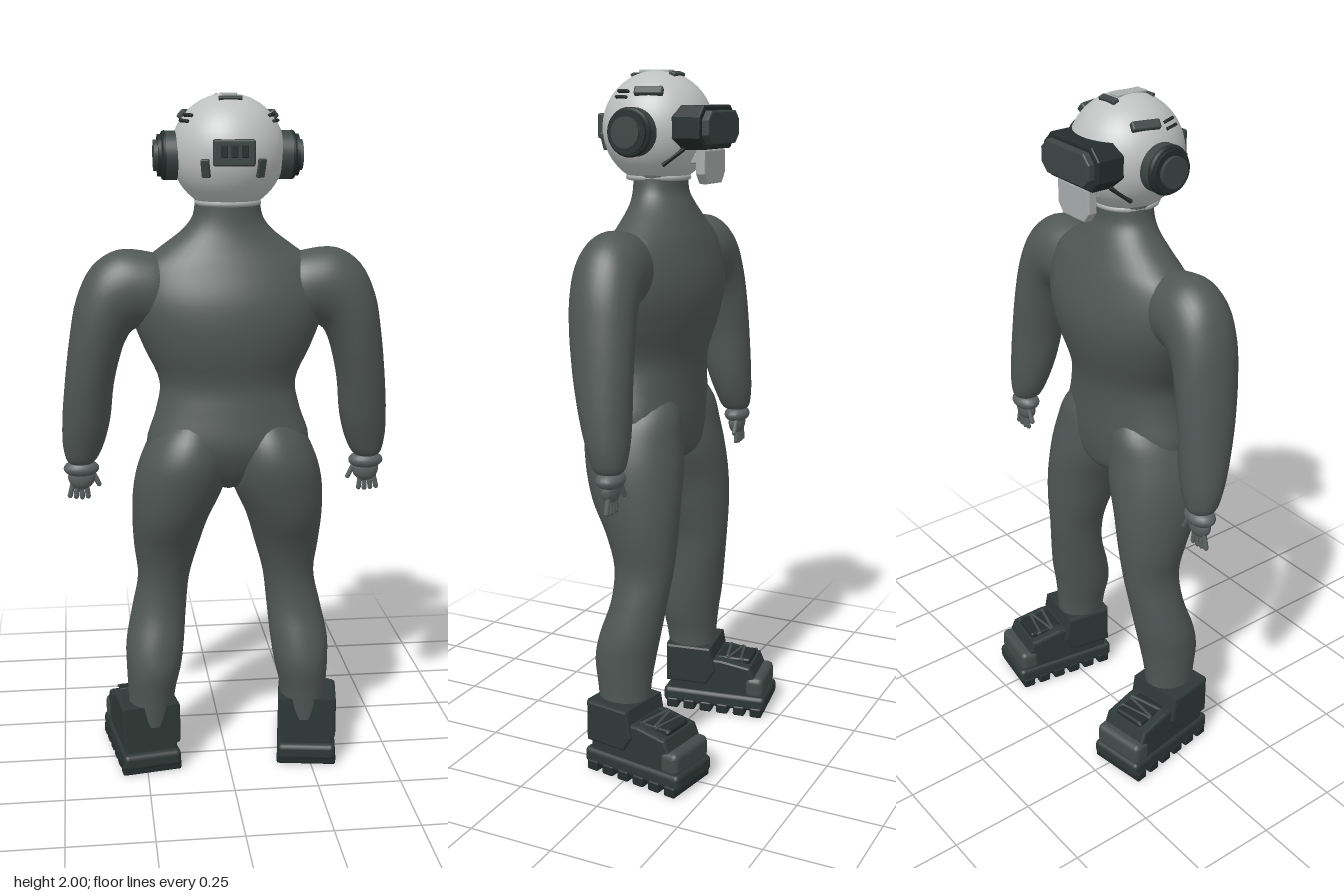
import * as THREE from 'three';
import { RoundedBoxGeometry } from 'three/addons/geometries/RoundedBoxGeometry.js';

const mat = (name, color, side = THREE.FrontSide) => {
  const m = new THREE.MeshStandardMaterial({ color, side });
  m.name = name;
  return m;
};

export function createModel() {
  const suit = mat('suit grey', 0x505755, THREE.DoubleSide);
  const glove = mat('glove grey', 0x5a6160);
  const shell = mat('helmet white', 0xbfc1c1);
  const plate = mat('pale plate', 0xa9adac);
  const trim = mat('helmet trim', 0x3c4543);
  const dark = mat('dark rubber', 0x252d2c);
  const boot = mat('boot', 0x2e3836);
  const cap = mat('toe cap', 0x434c4a);

  const model = new THREE.Group();
  const add = (parent, name, geo, material, x = 0, y = 0, z = 0) => {
    const m = new THREE.Mesh(geo, material);
    m.name = name;
    m.position.set(x, y, z);
    parent.add(m);
    return m;
  };
  const group = (parent, name, x = 0, y = 0, z = 0) => {
    const g = new THREE.Group();
    g.name = name;
    g.position.set(x, y, z);
    parent.add(g);
    return g;
  };
  const rbox = (w, h, d, r = 0.01) => new RoundedBoxGeometry(w, h, d, 2, r);

  // Smooth skin through oval sections: [outer x, outer y, inner x, inner y, front z, back z]
  const loft = (rows, seg = 36, steps = 4) => {
    const a = new THREE.CatmullRomCurve3(rows.map(r => new THREE.Vector3(r[0], r[1], r[4])));
    const b = new THREE.CatmullRomCurve3(rows.map(r => new THREE.Vector3(r[2], r[3], r[5])));
    const n = (rows.length - 1) * steps, pos = [], idx = [];
    for (let i = 0; i <= n; i++) {
      const p = a.getPoint(i / n), q = b.getPoint(i / n);
      for (let j = 0; j < seg; j++) {
        const t = j / seg * Math.PI * 2, c = Math.cos(t) / 2;
        pos.push((p.x + q.x) / 2 + (p.x - q.x) * c, (p.y + q.y) / 2 + (p.y - q.y) * c,
          (p.z + q.z) / 2 + Math.abs(q.z - p.z) / 2 * Math.sin(t));
        if (i < n) {
          const k = (j + 1) % seg, r = i * seg, s = r + seg;
          idx.push(r + j, r + k, s + j, r + k, s + k, s + j);
        }
      }
    }
    const g = new THREE.BufferGeometry();
    g.setAttribute('position', new THREE.Float32BufferAttribute(pos, 3));
    g.setIndex(idx);
    g.computeVertexNormals();
    return g;
  };

  // Torso: y, half width, front z, back z
  add(model, 'torso', loft([
    [1.74, 0.09, -0.03, 0.12], [1.67, 0.097, -0.03, 0.12], [1.63, 0.125, -0.045, 0.125],
    [1.58, 0.19, -0.065, 0.14], [1.53, 0.25, -0.085, 0.16], [1.45, 0.275, -0.108, 0.19],
    [1.38, 0.268, -0.115, 0.2], [1.3, 0.238, -0.103, 0.195], [1.2, 0.195, -0.076, 0.175],
    [1.12, 0.208, -0.07, 0.185], [1.03, 0.235, -0.07, 0.195], [0.96, 0.21, -0.065, 0.17],
    [0.91, 0.11, -0.05, 0.13], [0.885, 0.02, 0, 0.08],
  ].map(([y, w, f, k]) => [w, y, -w, y, f, k])), suit);

  // One side of the limbs, mirrored afterwards
  const limbs = group(model, 'leftLimbs');
  add(limbs, 'leg', loft([
    [1.12, 0.15, 0.05, -0.03, 0.14], [1.05, 0.22, 0.01, -0.065, 0.195], [0.98, 0.255, 0, -0.075, 0.215],
    [0.9, 0.275, 0.012, -0.085, 0.205], [0.8, 0.28, 0.055, -0.09, 0.175], [0.7, 0.275, 0.085, -0.088, 0.125],
    [0.6, 0.265, 0.112, -0.08, 0.097], [0.5, 0.285, 0.123, -0.065, 0.1], [0.4, 0.305, 0.132, -0.05, 0.13],
    [0.33, 0.305, 0.142, -0.038, 0.143], [0.25, 0.302, 0.16, -0.028, 0.132], [0.15, 0.3, 0.17, -0.025, 0.12],
  ].map(([y, o, i, f, k]) => [o, y, i, y, f, k])), suit);
  add(limbs, 'arm', loft([
    [0.16, 1.55, 0.16, 1.4, -0.02, 0.12], [0.22, 1.57, 0.2, 1.36, -0.04, 0.138],
    [0.31, 1.575, 0.24, 1.36, -0.05, 0.142], [0.38, 1.53, 0.27, 1.35, -0.053, 0.14],
    [0.425, 1.44, 0.29, 1.32, -0.056, 0.135], [0.447, 1.33, 0.307, 1.27, -0.06, 0.125],
    [0.464, 1.2, 0.325, 1.19, -0.062, 0.105], [0.475, 1.08, 0.338, 1.08, -0.063, 0.077],
    [0.475, 1.0, 0.36, 1.0, -0.06, 0.05], [0.463, 0.955, 0.385, 0.955, -0.05, 0.03],
    [0.435, 0.945, 0.41, 0.945, -0.02, 0],
  ]), suit);

  // Hand: cuff, palm, four fingers and a thumb
  const hand = group(limbs, 'hand', 0.424, 0.93, -0.015);
  const oval = (w, h, d) => new THREE.SphereGeometry(1, 20, 12).scale(w, h, d);
  add(hand, 'cuff', oval(0.052, 0.026, 0.038), glove, 0, 0.002);
  add(hand, 'palm', oval(0.04, 0.038, 0.024), glove, 0, -0.025);
  for (let i = 0; i < 5; i++) {
    const k = i - 2, thumb = i === 0;
    const f = add(hand, thumb ? 'thumb' : 'finger', new THREE.CapsuleGeometry(0.0075, thumb ? 0.04 : 0.045, 4, 8),
      glove, k * (thumb ? 0.021 : 0.015), (thumb ? -0.038 : -0.066) + Math.abs(k) * 0.002, thumb ? -0.012 : -0.005);
    f.rotation.z = k * (thumb ? 0.22 : 0.12);
  }

  // Boot, toes turned out; profile points are (forward, up)
  const foot = group(limbs, 'boot', 0.26, 0, -0.037);
  foot.rotation.y = -0.16;
  const profile = (pts, width) => new THREE.ExtrudeGeometry(new THREE.Shape(pts.map(p => new THREE.Vector2(...p))),
    { depth: width - 0.02, bevelSize: 0.008, bevelThickness: 0.01, bevelSegments: 2 })
    .translate(0, 0, 0.01 - width / 2).rotateY(Math.PI / 2);
  add(foot, 'sole', rbox(0.176, 0.05, 0.335, 0.015), boot, 0, 0.043, 0);
  for (let i = 0; i < 6; i++)
    add(foot, 'tread', rbox(0.18, 0.032, 0.038, 0.006), dark, 0, 0.016, -0.138 + i * 0.055);
  add(foot, 'upper', profile([[-0.14, 0.06], [0.12, 0.06], [0.125, 0.12], [0.11, 0.155], [0.02, 0.17], [-0.14, 0.17]], 0.158), boot);
  add(foot, 'shaft', profile([[-0.15, 0.1], [-0.03, 0.1], [-0.005, 0.14], [-0.018, 0.21], [-0.15, 0.21]], 0.176), boot);
  add(foot, 'toeCap', rbox(0.168, 0.07, 0.06, 0.018), cap, 0, 0.095, -0.13);
  add(foot, 'tongue', rbox(0.1, 0.02, 0.11, 0.008), dark, 0, 0.171, -0.055);
  for (let i = 0; i < 4; i++) {
    const lace = add(foot, 'lace', rbox(0.11, 0.008, 0.009, 0.003), cap, 0, 0.184 - i * 0.003, -0.03 - i * 0.022);
    lace.rotation.y = i % 2 ? 0.22 : -0.12;
  }

  // Mirror the limbs, baking positions and reversing corner order
  model.updateMatrixWorld(true);
  const right = group(model, 'rightLimbs');
  limbs.traverse(o => {
    if (!o.isMesh) return;
    const g = o.geometry.clone().applyMatrix4(o.matrixWorld).scale(-1, 1, 1);
    const n = g.attributes.position.count;
    const ix = g.index ? Array.from(g.index.array) : Array.from({ length: n }, (_, i) => i);
    for (let i = 0; i < ix.length; i += 3) [ix[i], ix[i + 1]] = [ix[i + 1], ix[i]];
    g.setIndex(ix);
    g.computeBoundingSphere();
    // Scaling through the normal matrix already mirrors the normals
    add(right, o.name, g, o.material);
  });

  // Helmet
  const helmet = group(model, 'helmet', 0, 1.84, 0.053);
  const R = 0.157;
  add(helmet, 'shell', new THREE.SphereGeometry(R, 48, 32), shell);
  const stick = (name, w, h, d, material, x, y, z, roll = 0) => {
    const m = new THREE.Mesh(rbox(w, h, d, Math.min(w, h, d) * 0.25), material);
    const n = new THREE.Vector3(x, y, z).normalize();
    m.name = name;
    m.position.copy(n).multiplyScalar(R);
    m.lookAt(n.multiplyScalar(1));
    m.rotateZ(roll);
    helmet.add(m);
  };
  add(helmet, 'neckRing', new THREE.TorusGeometry(0.085, 0.008, 8, 32).rotateX(Math.PI / 2), plate, 0, -0.135, 0);

  // Crown strip with end clips
  add(helmet, 'crownStrip', rbox(0.038, 0.01, 0.095, 0.003), plate, 0, 0.153, 0.005);
  stick('crownClip', 0.064, 0.02, 0.012, trim, 0, 0.145, -0.058);
  stick('crownClip', 0.064, 0.012, 0.012, trim, 0, 0.145, 0.065);

  // Rear vent block
  add(helmet, 'ventBlock', rbox(0.112, 0.07, 0.03, 0.006), trim, 0, 0.005, 0.15);
  for (const x of [-0.028, 0, 0.028]) add(helmet, 'ventSlot', rbox(0.018, 0.034, 0.008, 0.002), dark, x, 0.01, 0.165);

  for (const s of [-1, 1]) {
    stick('ventClip', 0.024, 0.05, 0.014, trim, s * 0.072, -0.035, 0.13);
    stick('sideClip', 0.08, 0.026, 0.02, trim, s * 0.118, 0.1, -0.03);
    stick('smallClip', 0.045, 0.008, 0.014, dark, s * 0.118, 0.104, 0.052);
    stick('smallClip', 0.045, 0.008, 0.014, dark, s * 0.126, 0.086, 0.052);
    stick('cheekSlit', 0.075, 0.01, 0.01, dark, s * 0.1, -0.075, -0.095, s * 0.75);

    // Earcup: stacked discs
    const ear = group(helmet, 'earcup', 0, -0.008, 0);
    for (const [r, len, x, m] of [[0.066, 0.034, 0.158, trim], [0.057, 0.024, 0.182, dark], [0.042, 0.014, 0.198, trim]])
      add(ear, 'earDisc', new THREE.CylinderGeometry(r, r, len, 32).rotateZ(Math.PI / 2), m, s * x, 0, 0);
    add(ear, 'earRim', new THREE.TorusGeometry(0.058, 0.009, 8, 32).rotateY(Math.PI / 2), dark, s * 0.176, 0, 0);
  }

  // Visor: eight-sided frame and lens facing forward
  const octagon = (w, h, c, depth) => new THREE.ExtrudeGeometry(new THREE.Shape([
    [-w + c, -h], [w - c, -h], [w, -h + c], [w, h - c], [w - c, h], [-w + c, h], [-w, h - c], [-w, -h + c],
  ].map(p => new THREE.Vector2(...p))), { depth, bevelSize: 0.005, bevelThickness: 0.005, bevelSegments: 2 });
  add(helmet, 'visorFrame', octagon(0.115, 0.054, 0.028, 0.075), dark, 0, 0.004, -0.178);
  add(helmet, 'visorLens', octagon(0.1, 0.04, 0.022, 0.02), trim, 0, 0.004, -0.198);

  // Chin guard below the visor
  const chin = new THREE.Shape([[-0.045, -0.145], [0.045, -0.145], [0.065, -0.12], [0.065, -0.06], [-0.065, -0.06], [-0.065, -0.12]]
    .map(p => new THREE.Vector2(...p)));
  add(helmet, 'chinGuard', new THREE.ExtrudeGeometry(chin, { depth: 0.02, bevelSize: 0.004, bevelThickness: 0.004, bevelSegments: 2 }),
    plate, 0, 0, -0.172);
  add(helmet, 'chinMount', rbox(0.09, 0.03, 0.07, 0.006), plate, 0, -0.08, -0.125);

  return model;
}
